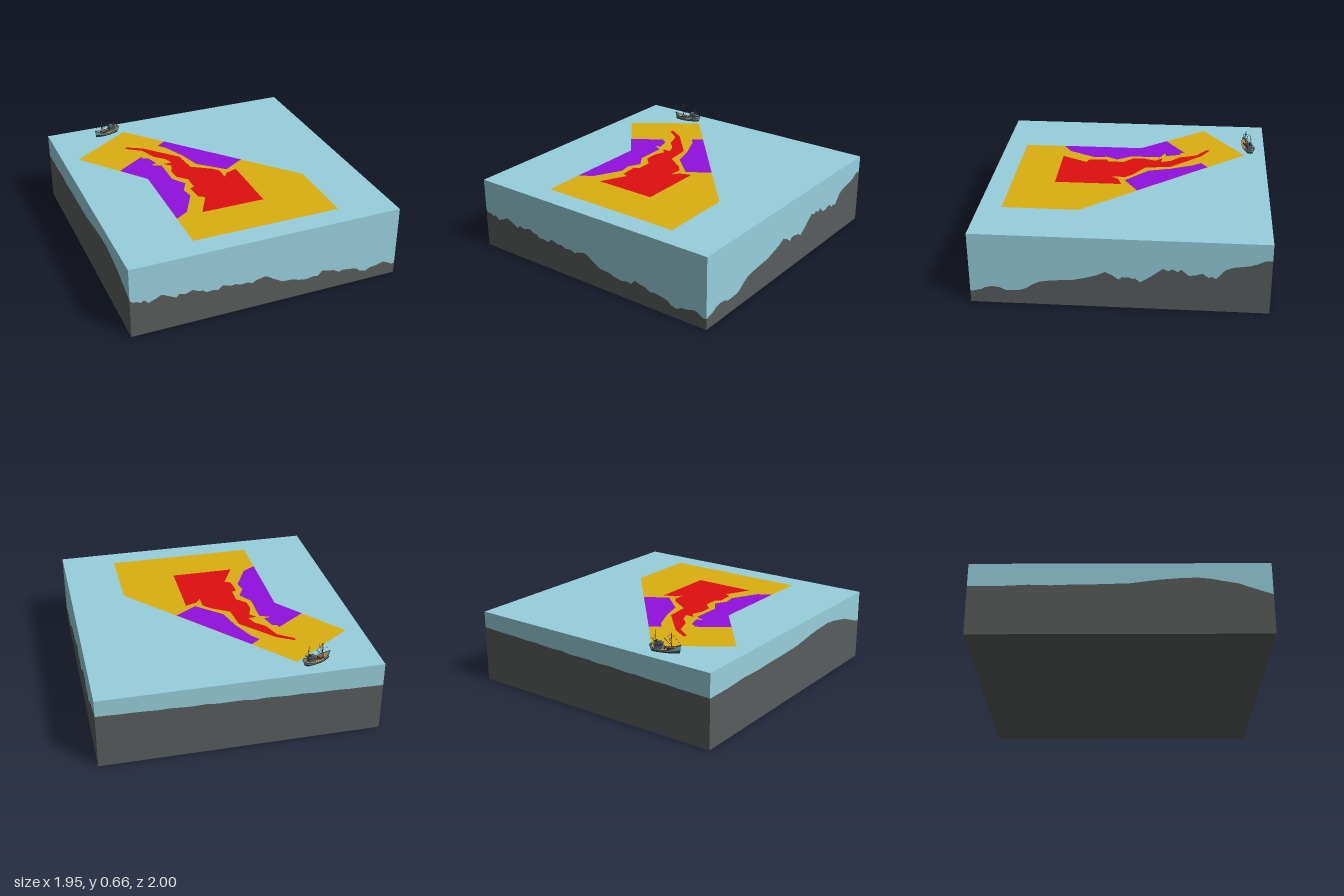
import * as THREE from 'three';

const W = 0.975, D = 1, TOP = 0.518;
const mat = (color, extra = {}) => {
  const m = new THREE.MeshStandardMaterial({ color });
  return Object.assign(m, extra);
};
const double = { side: THREE.DoubleSide };

function add(parent, name, geometry, material, x = 0, y = 0, z = 0) {
  const mesh = new THREE.Mesh(geometry, material);
  mesh.name = name;
  mesh.position.set(x, y, z);
  parent.add(mesh);
  return mesh;
}

// Skin between two rows of points; unshared corners keep the facets flat.
function strip(lower, upper) {
  const pos = [];
  for (let i = 0; i + 1 < lower.length; i++) {
    for (const p of [lower[i], lower[i + 1], upper[i + 1], lower[i], upper[i + 1], upper[i]]) pos.push(...p);
  }
  const g = new THREE.BufferGeometry();
  g.setAttribute('position', new THREE.Float32BufferAttribute(pos, 3));
  g.computeVertexNormals();
  return g;
}

// Seabed height along each wall as [position, height]
const FRONT = [
  [-W, .285], [-.955, .265], [-.93, .265], [-.9, .25], [-.88, .265], [-.85, .235], [-.8, .255], [-.76, .275],
  [-.73, .26], [-.66, .225], [-.64, .25], [-.6, .235], [-.545, .255], [-.51, .235], [-.475, .23], [-.45, .21],
  [-.41, .215], [-.37, .205], [-.335, .235], [-.28, .215], [-.245, .22], [-.21, .205], [-.16, .21], [-.12, .195],
  [-.1, .21], [-.03, .225], [0, .21], [.03, .19], [.1, .15], [.18, .145], [.22, .13], [.28, .12], [.33, .13],
  [.37, .125], [.4, .16], [.43, .15], [.49, .14], [.53, .115], [.56, .125], [.63, .115], [.67, .105], [.7, .08],
  [.74, .07], [.78, .09], [.83, .095], [.88, .11], [.91, .1], [.95, .075], [W, .08]];
const RIGHT = [
  [1, .08], [.92, .1], [.9, .115], [.85, .125], [.8, .12], [.76, .1], [.66, .105], [.62, .12], [.58, .15],
  [.53, .175], [.47, .185], [.37, .195], [.3, .2], [.22, .22], [.15, .24], [.13, .25], [.09, .27], [.04, .245],
  [0, .215], [-.02, .235], [-.07, .235], [-.09, .225], [-.11, .23], [-.14, .2], [-.2, .24], [-.24, .27],
  [-.29, .31], [-.33, .295], [-.35, .31], [-.39, .29], [-.41, .31], [-.46, .265], [-.5, .27], [-.55, .285],
  [-.59, .255], [-.61, .265], [-.64, .25], [-.7, .32], [-.75, .34], [-.85, .355], [-.9, .37], [-.95, .395], [-1, .4]];
const BACK = [];
for (let i = 0; i <= 24; i++) {
  const t = i / 24, ripple = Math.sin(i * 2.3) * 0.004 * Math.sin(Math.PI * t);
  BACK.push([W - 2 * W * t, 0.4 - 0.05 * t + ripple]);
}
const LEFT = [
  [-1, .35], [-.8, .35], [-.6, .36], [-.45, .355], [-.32, .36], [-.15, .362], [.06, .368], [.15, .38], [.26, .395],
  [.38, .405], [.51, .41], [.6, .4], [.7, .38], [.78, .365], [.83, .345], [.9, .32], [1, .285]];

// Zone outlines on the water surface as [x, z]
const ZONES = [
  ['outerZone', 0xdbb010, [[-.41, -.845], [.585, .305], [.585, .84], [-.48, .84], [-.48, -.05], [-.86, -.53]]],
  ['rightZone', 0x910fde, [[-.17, -.567], [.26, -.07], [.1, .03], [-.075, -.13], [-.12, -.29], [-.195, -.46], [-.24, -.515]]],
  ['leftZone', 0x910fde, [
    [-.415, -.39], [-.415, -.365], [-.375, -.35], [-.345, -.25], [-.395, -.24], [-.32, -.205], [-.32, .015],
    [-.255, .115], [-.3, .2], [-.285, .29], [-.385, .485], [-.48, .545], [-.48, -.05], [-.63, -.24]]],
  ['innerZone', 0xdf0f0f, [
    [-.48, -.585], [-.36, -.515], [-.15, -.285], [-.13, -.105], [0, -.02], [.045, .03], [.045, .13], [.08, .08],
    [.165, .05], [.165, .53], [-.29, .53], [-.195, .345], [-.24, .325], [-.25, .195], [-.215, .18], [-.215, .065],
    [-.28, 0], [-.285, -.09], [-.255, -.175], [-.3, -.22], [-.235, -.22], [-.265, -.295], [-.33, -.355],
    [-.375, -.48], [-.48, -.555]]],
];

function flatShape(points) {
  const g = new THREE.ShapeGeometry(new THREE.Shape(points.map(([x, z]) => new THREE.Vector2(x, -z))));
  return g.rotateX(-Math.PI / 2);
}

function createBoat() {
  const boat = new THREE.Group();
  boat.name = 'boat';
  const dark = mat(0x2b2f31), teal = mat(0x6f9fa3, double), hullDark = mat(0x2f3a3d, double);
  const wood = mat(0xb5854a, double), brown = mat(0x7a5a36), house = mat(0x56646c), roof = mat(0x3c4a5c);

  function rod(name, a, b, r = 0.0012, m = dark) {
    const A = new THREE.Vector3(...a), B = new THREE.Vector3(...b);
    const mesh = add(boat, name, new THREE.CylinderGeometry(r, r, A.distanceTo(B), 6), m);
    mesh.position.copy(A).add(B).multiplyScalar(0.5);
    mesh.quaternion.setFromUnitVectors(new THREE.Vector3(0, 1, 0), B.sub(A).normalize());
  }
  const box = (name, w, h, d, x, y, z, m) => add(boat, name, new THREE.BoxGeometry(w, h, d), m, x, y, z);

  // Hull stations: x, half width, rail height
  const S = [[-.107, .004, .035], [-.102, .018, .034], [-.09, .028, .031], [-.06, .035, .025], [-.01, .037, .021],
    [.03, .034, .025], [.065, .023, .036], [.09, .01, .047], [.108, .0008, .056]];
  // Row of points around the hull, port side to starboard, at fraction f of the rail height
  const row = f => {
    const at = ([x, w, h], s) => [x * (0.9 + 0.1 * f), h * f, s * w * (0.75 + 0.25 * f)];
    const pts = [...S.map(p => at(p, 1)), ...[...S].reverse().map(p => at(p, -1))];
    return [...pts, pts[0]];
  };
  add(boat, 'lowerHull', strip(row(0), row(0.4)), hullDark);
  add(boat, 'upperHull', strip(row(0.4), row(1)), teal);
  const rail = new THREE.CatmullRomCurve3(row(1).slice(0, -1).map(p => new THREE.Vector3(...p)), true);
  add(boat, 'rail', new THREE.TubeGeometry(rail, 60, 0.0018, 5, true), dark);
  const side = s => S.map(([x, w, h]) => [x * 0.98, h * 0.8, s * w * 0.95]);
  add(boat, 'deck', strip(side(1), side(-1)), wood);

  // Hatch, wheelhouse and funnel
  box('hatchCoaming', .04, .012, .032, .032, .025, 0, dark);
  box('hatchCover', .034, .004, .026, .032, .032, 0, brown);
  box('wheelhouse', .05, .034, .036, -.046, .036, 0, house);
  box('wheelhouseRoof', .056, .004, .042, -.046, .055, 0, roof);
  for (const s of [-1, 1]) {
    for (const x of [-.06, -.046, -.032]) box('sideWindow', .009, .009, .001, x, .043, s * .0183, dark);
    box('frontWindow', .001, .009, .011, -.0207, .043, s * .008, dark);
  }
  box('upperCabin', .022, .012, .022, -.038, .062, 0, house);
  add(boat, 'funnel', new THREE.CylinderGeometry(.005, .006, .02, 10), dark, -.06, .066, 0);
  add(boat, 'winch', new THREE.CylinderGeometry(.006, .006, .024, 10).rotateX(Math.PI / 2), dark, -.004, .024, 0);

  // Masts, booms and stays
  rod('foreMast', [.042, .02, 0], [.042, .132, 0], .002);
  rod('aftMast', [-.068, .02, 0], [-.07, .14, 0], .0016);
  rod('foreBoom', [.042, .045, 0], [-.008, .09, 0], .0015);
  rod('aftBoom', [-.068, .06, 0], [-.1, .085, 0]);
  rod('foreStay', [.042, .125, 0], [.106, .056, 0], .0006);
  rod('boomStay', [.042, .125, 0], [-.008, .09, 0], .0006);
  rod('crossTree', [.042, .105, -.012], [.042, .105, .012]);
  rod('aftCrossTree', [-.069, .105, -.01], [-.069, .105, .01]);
  for (const s of [-1, 1]) {
    rod('shroud', [.042, .115, 0], [.03, .025, s * .033], .0006);
    rod('derrick', [.042, .05, 0], [.03, .115, s * .026], .0012);
    rod('aftShroud', [-.069, .11, 0], [-.085, .03, s * .03], .0006);
  }

  // Stern railing
  const posts = [[-.06, .034], [-.09, .027], [-.102, .015]];
  for (const s of [-1, 1]) {
    posts.forEach(([x, z], i) => {
      rod('railPost', [x, .025, s * z], [x, .045, s * z], .0009);
      if (i) rod('railBar', [posts[i - 1][0], .045, s * posts[i - 1][1]], [x, .045, s * z], .0009);
    });
  }
  rod('sternBar', [-.102, .045, -.015], [-.102, .045, .015], .0009);

  boat.position.set(-.538, TOP, -.868);
  boat.rotation.y = Math.PI + 0.294;
  return boat;
}

export function createModel() {
  const model = new THREE.Group();
  const rock = mat(0x595c5c), water = mat(0x97cfdc);

  // Cut faces of the block, walked once around the outside
  const walls = [
    ...FRONT.map(([x, h]) => [x, D, h]), ...RIGHT.map(([z, h]) => [W, z, h]),
    ...BACK.map(([x, h]) => [x, -D, h]), ...LEFT.map(([z, h]) => [-W, z, h])];
  const level = f => walls.map(([x, z, h]) => [x, f(h), z]);
  add(model, 'seabedWalls', strip(level(() => 0), level(h => h)), rock);
  add(model, 'waterWalls', strip(level(h => h), level(() => TOP)), water);
  add(model, 'base', new THREE.PlaneGeometry(2 * W, 2 * D).rotateX(Math.PI / 2), rock);
  add(model, 'waterSurface', new THREE.PlaneGeometry(2 * W, 2 * D).rotateX(-Math.PI / 2), water, 0, TOP, 0);

  // Coloured zones lie just above the water
  ZONES.forEach(([name, color, points], i) => {
    add(model, name, flatShape(points), mat(color, double), 0, TOP + 0.0015 * (i ? 2 : 1), 0);
  });

  model.add(createBoat());
  return model;
}
